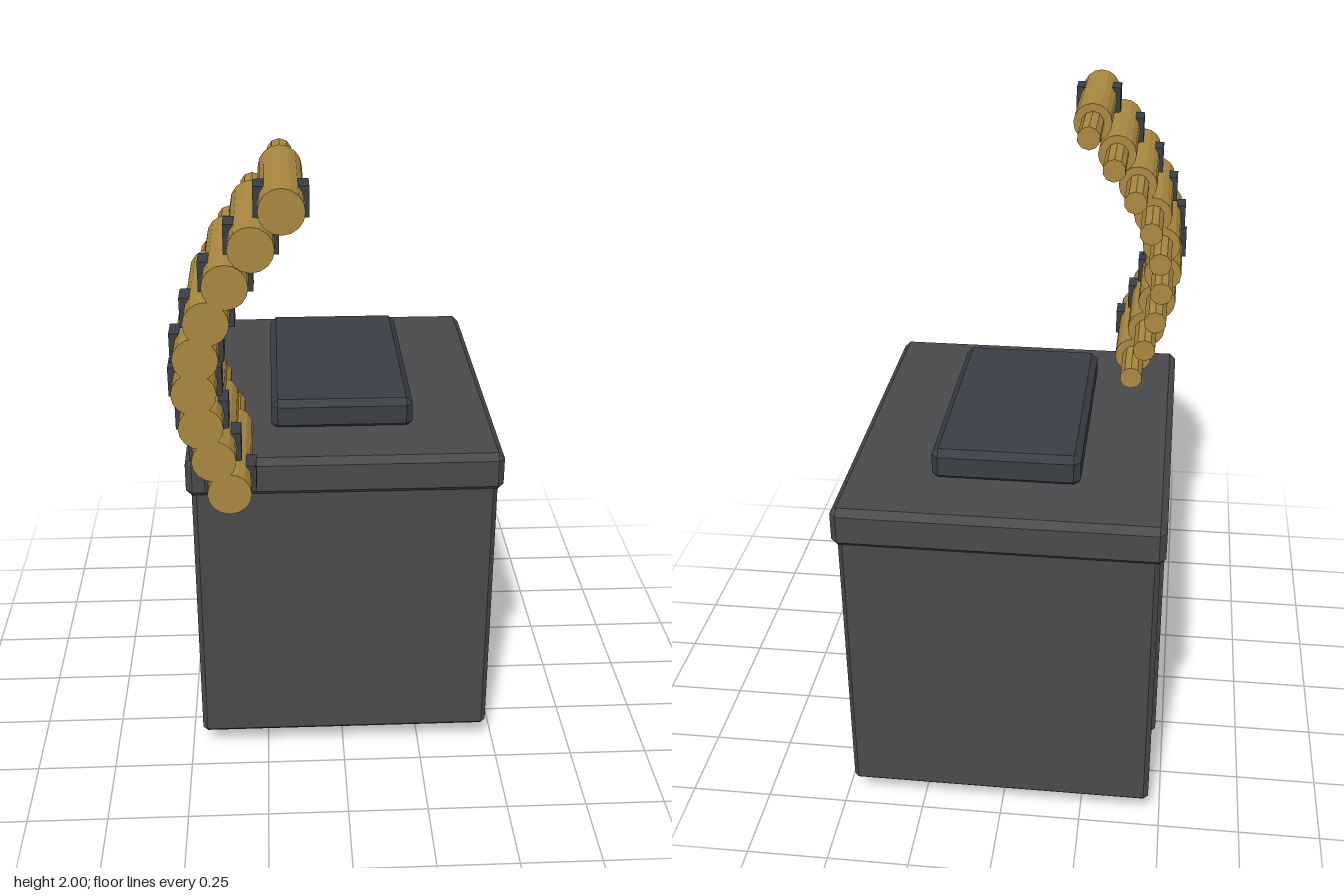
import * as THREE from 'three';
import { ConvexGeometry } from 'three/addons/geometries/ConvexGeometry.js';

const material = (color) => new THREE.MeshStandardMaterial({ color, flatShading: true });

// Box with every edge chamfered by b
function chamferBox(w, h, d, b) {
  const points = [];
  for (const x of [-w / 2, w / 2]) for (const y of [-h / 2, h / 2]) for (const z of [-d / 2, d / 2]) {
    const sx = Math.sign(x) * b, sy = Math.sign(y) * b, sz = Math.sign(z) * b;
    points.push(
      new THREE.Vector3(x, y - sy, z - sz),
      new THREE.Vector3(x - sx, y, z - sz),
      new THREE.Vector3(x - sx, y - sy, z)
    );
  }
  return new ConvexGeometry(points);
}

function addMesh(parent, name, geometry, mat, x, y, z) {
  const mesh = new THREE.Mesh(geometry, mat);
  mesh.name = name;
  mesh.position.set(x, y, z);
  parent.add(mesh);
  return mesh;
}

export function createModel() {
  const model = new THREE.Group();
  model.name = 'ammunitionBox';
  const steel = material(0x4a4a4d);
  const darkSteel = material(0x3a3f45);
  const brass = material(0xaa8840);

  // Box, lid, top plate and bottom rail
  const box = new THREE.Group();
  box.name = 'box';
  box.position.set(0.004, 0, -0.148);
  model.add(box);
  addMesh(box, 'body', chamferBox(0.935, 0.93, 1.165, 0.015), steel, 0, 0.54, 0);
  addMesh(box, 'lid', chamferBox(0.967, 0.125, 1.194, 0.02), steel, 0, 1.023, 0);
  addMesh(box, 'topPlate', chamferBox(0.444, 0.1, 0.757, 0.02), darkSteel, 0, 1.126, 0);
  addMesh(box, 'bottomRail', chamferBox(0.575, 0.07, 0.085, 0.028), steel, 0, 0.035, 0);
  addMesh(box, 'railBase', new THREE.BoxGeometry(0.5, 0.03, 0.03), steel, 0, 0.07, 0);

  // Three raised ribs on each side
  const ribGeometry = chamferBox(0.04, 0.705, 0.07, 0.012);
  for (const side of [-1, 1]) {
    for (const z of [-0.36, 0, 0.36]) {
      addMesh(box, side > 0 ? 'leftRib' : 'rightRib', ribGeometry, steel, side * 0.459, 0.547, z);
    }
  }

  // Curved belt: centres of the rounds from bottom to top
  const belt = new THREE.Group();
  belt.name = 'belt';
  model.add(belt);
  const centres = [
    [-0.335, 1.132], [-0.375, 1.234], [-0.407, 1.335], [-0.422, 1.436], [-0.414, 1.536],
    [-0.382, 1.637], [-0.329, 1.738], [-0.259, 1.839], [-0.178, 1.939]
  ];
  const caseGeometry = new THREE.CylinderGeometry(0.062, 0.062, 0.447, 16).rotateX(Math.PI / 2);
  const tipGeometry = new THREE.CylinderGeometry(0.037, 0.037, 0.2, 10).rotateX(Math.PI / 2);
  const linkGeometry = new THREE.BoxGeometry(0.148, 0.084, 0.076);
  for (const [x, y] of centres) {
    const round = new THREE.Group();
    round.name = 'round';
    round.position.set(x, y, 0);
    belt.add(round);
    addMesh(round, 'casing', caseGeometry, brass, 0, 0, 0.522);
    addMesh(round, 'tip', tipGeometry, brass, 0, 0, 0.221);
    addMesh(round, 'link', linkGeometry, darkSteel, 0, 0, 0.618);
  }
  return model;
}
